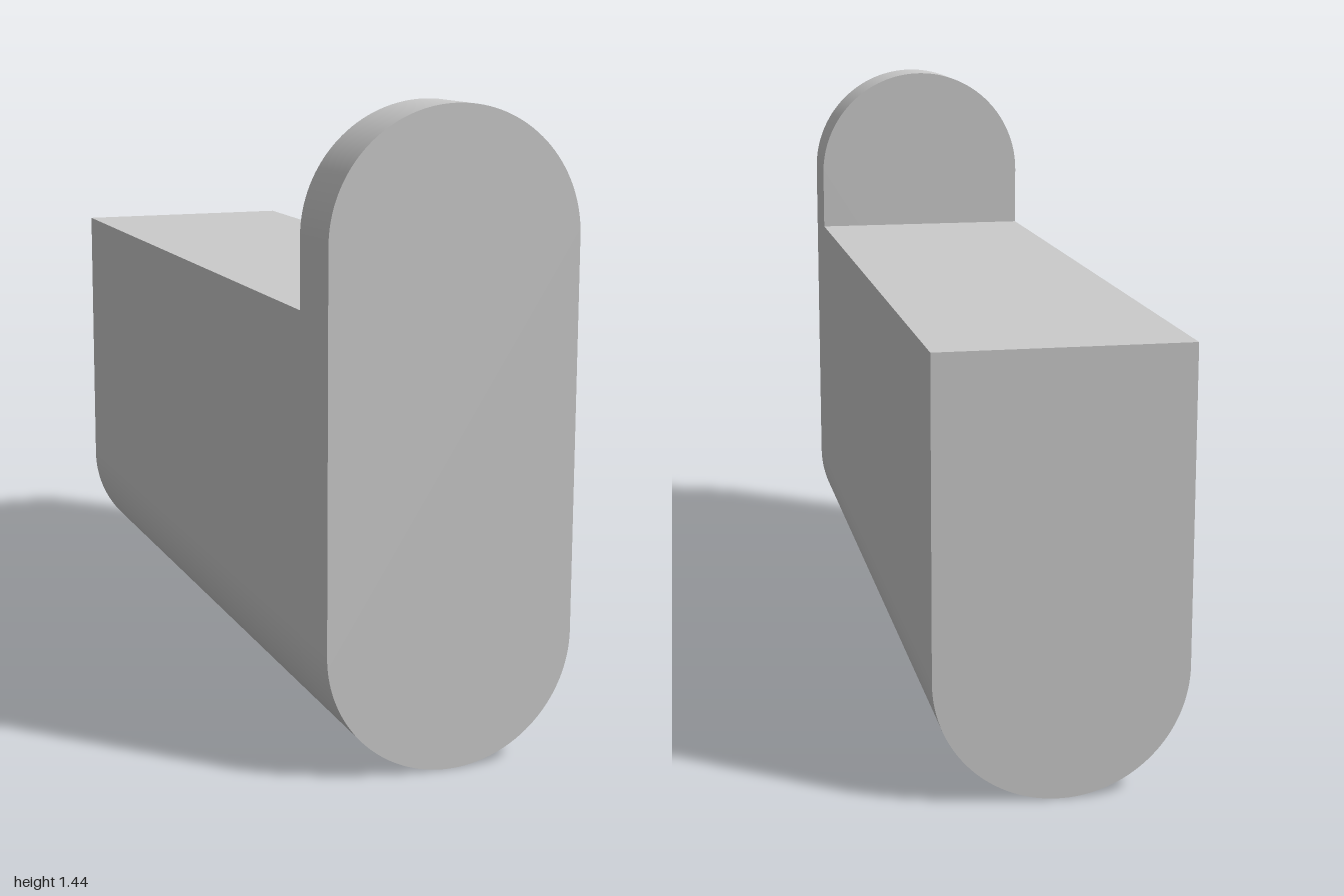
import * as THREE from 'three';
import { toCreasedNormals } from 'three/addons/utils/BufferGeometryUtils.js';

const R = 0.285;        // half width and radius of the rounded ends
const HEIGHT = 1.44;    // height of the front plate
const BODY_TOP = 1.0;   // height of the flat top of the body
const PLATE_BACK = 0.83;

export function createModel() {
  const group = new THREE.Group();
  group.name = 'wallHook';
  const material = new THREE.MeshStandardMaterial({ color: 0xcccccc });

  // Extrude a profile along z, smooth on the curves and sharp at the edges
  function addPart(name, shape, zBack, zFront) {
    const extruded = new THREE.ExtrudeGeometry(shape, {
      depth: zFront - zBack, bevelEnabled: false, curveSegments: 32,
    });
    const mesh = new THREE.Mesh(toCreasedNormals(extruded, 0.5), material);
    mesh.name = name;
    mesh.position.z = zBack;
    group.add(mesh);
  }

  // Body: rounded underside, flat top
  const body = new THREE.Shape();
  body.moveTo(-R, BODY_TOP);
  body.lineTo(-R, R);
  body.absarc(0, R, R, Math.PI, 2 * Math.PI, false);
  body.lineTo(R, BODY_TOP);
  body.closePath();
  addPart('body', body, -1, PLATE_BACK);

  // Front plate: upright slot shape rising above the body
  const plate = new THREE.Shape();
  plate.absarc(0, R, R, Math.PI, 2 * Math.PI, false);
  plate.absarc(0, HEIGHT - R, R, 0, Math.PI, false);
  plate.closePath();
  addPart('frontPlate', plate, PLATE_BACK, 1);

  return group;
}
